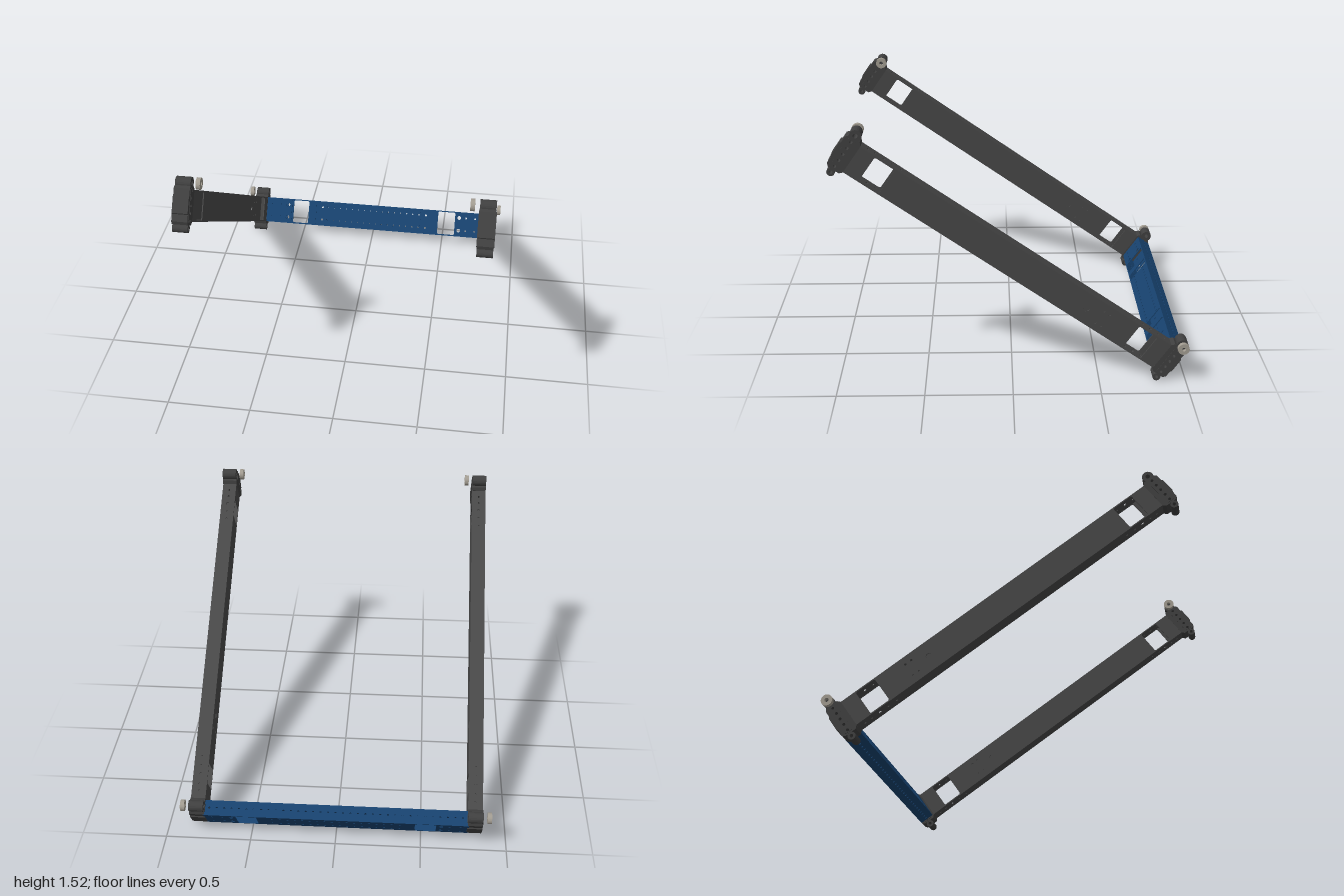
import * as THREE from 'three';

const mat = (color) => new THREE.MeshStandardMaterial({ color });
const TILT = THREE.MathUtils.degToRad(35);
const ARM_X = 0.811, ARM_W = 0.086, TUBE_H = 0.174, WALL = 0.006;
const CAP_Z = 1.104;

function circle(x, y, r) {
  const p = new THREE.Path();
  p.absarc(x, y, r, 0, Math.PI * 2, true);
  return p;
}

// Rounded rectangle written onto a Path or Shape
function roundRect(p, cx, cy, w, h, r) {
  const x = w / 2 - r, y = h / 2 - r;
  p.absarc(cx + x, cy + y, r, 0, Math.PI / 2);
  p.absarc(cx - x, cy + y, r, Math.PI / 2, Math.PI);
  p.absarc(cx - x, cy - y, r, Math.PI, Math.PI * 1.5);
  p.absarc(cx + x, cy - y, r, Math.PI * 1.5, Math.PI * 2);
  p.closePath();
  return p;
}

const slot = (cx, w) => roundRect(new THREE.Path(), cx, 0, w, 0.16, 0.01);

// Extrusion centred on its own thickness
function slab(shape, depth, curveSegments = 5) {
  const g = new THREE.ExtrudeGeometry(shape, { depth, bevelEnabled: false, curveSegments });
  return g.translate(0, 0, -depth / 2);
}

function plate(w, h, holes) {
  const s = new THREE.Shape();
  s.moveTo(-w / 2, -h / 2).lineTo(w / 2, -h / 2).lineTo(w / 2, h / 2).lineTo(-w / 2, h / 2).closePath();
  s.holes.push(...holes);
  return slab(s, WALL);
}

function add(parent, name, geometry, material, x = 0, y = 0, z = 0) {
  const m = new THREE.Mesh(geometry, material);
  m.name = name;
  m.position.set(x, y, z);
  parent.add(m);
  return m;
}

// Hollow rail: side walls with slots, top and bottom walls with bolt holes
function buildArm(material) {
  const arm = new THREE.Group();
  const sideHoles = [slot(-0.89, 0.128), slot(0.89, 0.128), circle(-0.511, 0, 0.017)];
  for (const z of [-0.602, -0.642]) for (const y of [-0.043, 0.043]) sideHoles.push(circle(z, y, 0.007));
  const boltHoles = [];
  for (const s of [-1, 1]) {
    for (const z of [0.795, 0.85, 0.96, 1.005]) boltHoles.push(circle(0, s * z, 0.0065));
    boltHoles.push(circle(0, s * 0.905, 0.01));
  }
  const side = plate(2.12, TUBE_H, sideHoles).rotateY(-Math.PI / 2);
  const flat = plate(ARM_W - 2 * WALL, 2.12, boltHoles).rotateX(Math.PI / 2);
  for (const s of [-1, 1]) {
    add(arm, 'armSideWall', side, material, s * (ARM_W - WALL) / 2, 0, 0);
    add(arm, s > 0 ? 'armTopWall' : 'armBottomWall', flat, material, 0, s * (TUBE_H - WALL) / 2, 0);
  }
  return arm;
}

// End bracket: notched body with a row of through holes and an eye at each end
function buildCap(material) {
  const cap = new THREE.Group();
  const body = new THREE.Shape([
    [-0.055, -0.088], [-0.04, -0.105], [0.03, -0.105], [0.043, -0.09], [0.043, -0.05], [0.05, -0.045],
    [0.05, 0.045], [0.043, 0.05], [0.043, 0.09], [0.03, 0.105], [-0.04, 0.105], [-0.055, 0.088],
  ].map(([a, b]) => new THREE.Vector2(a, b)));
  for (const v of [-0.082, -0.041, 0, 0.041, 0.082]) body.holes.push(circle(0, v, 0.009));
  add(cap, 'capBody', slab(body, ARM_W + 0.002).rotateY(-Math.PI / 2), material);

  for (const [v, r, hole] of [[0.122, 0.033, 0.013], [-0.124, 0.023, 0.01]]) {
    const eye = new THREE.Shape();
    eye.absarc(0, v, r, 0, Math.PI * 2);
    eye.holes.push(circle(0, v, hole));
    add(cap, 'capEye', slab(eye, ARM_W, 10).rotateY(-Math.PI / 2), material);
  }

  // Raised pads on both cheeks
  const pad = new THREE.Shape();
  roundRect(pad, 0, 0, 0.05, 0.19, 0.008);
  for (const v of [-0.082, -0.041, 0, 0.041, 0.082]) pad.holes.push(circle(0, v, 0.009));
  const padGeo = slab(pad, 0.003).rotateY(-Math.PI / 2);
  for (const s of [-1, 1]) add(cap, 'capPad', padGeo, material, s * (ARM_W / 2 + 0.002), 0, 0);
  return cap;
}

// Hollow cross beam with regular bolt rows, two through slots and two front slots
function buildBeam(material) {
  const beam = new THREE.Group();
  const LEN = 1.55, DEPTH = 0.09;
  const faceHoles = (front) => {
    const h = [slot(-0.525, 0.124), slot(0.525, 0.124)];
    if (front) h.push(slot(-0.375, 0.068), slot(0.375, 0.068));
    for (const y of [-0.045, 0.045]) {
      for (let i = -7.5; i <= 7.5; i++) h.push(circle(i * 0.0435, y, 0.007));
      for (const s of [-1, 1]) {
        h.push(circle(s * 0.615, y, 0.014), circle(s * 0.664, y, 0.007), circle(s * 0.728, y, 0.007));
        if (!front) h.push(circle(s * 0.375, y, 0.007));
      }
    }
    return h;
  };
  add(beam, 'beamFrontWall', plate(LEN, TUBE_H, faceHoles(true)), material, 0, 0, (DEPTH - WALL) / 2);
  add(beam, 'beamBackWall', plate(LEN, TUBE_H, faceHoles(false)), material, 0, 0, -(DEPTH - WALL) / 2);
  const row = [];
  for (let i = -17; i <= 17; i++) row.push(circle(i * 0.0435, 0, 0.007));
  const flat = plate(LEN, DEPTH - 2 * WALL, row).rotateX(Math.PI / 2);
  for (const s of [-1, 1]) {
    add(beam, s > 0 ? 'beamTopWall' : 'beamBottomWall', flat, material, 0, s * (TUBE_H - WALL) / 2, 0);
  }
  return beam;
}

function rollerGeometry() {
  const s = new THREE.Shape();
  s.absarc(0, 0, 0.033, 0, Math.PI * 2);
  s.holes.push(circle(0, 0, 0.012));
  return slab(s, 0.024, 14).rotateY(-Math.PI / 2);
}

export function createModel() {
  const model = new THREE.Group();
  model.name = 'tiltedFrame';
  const dark = mat(0x484848), capDark = mat(0x404040), blue = mat(0x17426f), pale = mat(0xa39d92);

  // Everything is laid out flat, then tipped so the front end rises
  const frame = new THREE.Group();
  frame.name = 'frame';
  frame.rotation.x = -TILT;
  frame.position.set(0, 0.755, 0.002);
  model.add(frame);

  const roller = rollerGeometry();
  for (const s of [-1, 1]) {
    const side = s > 0 ? 'left' : 'right';
    const arm = buildArm(dark);
    arm.name = side + 'Arm';
    arm.position.x = s * ARM_X;
    frame.add(arm);
    for (const end of [-1, 1]) {
      const cap = buildCap(capDark);
      cap.name = side + (end > 0 ? 'FrontCap' : 'BackCap');
      cap.position.set(s * ARM_X, 0, end * CAP_Z);
      if (end < 0) cap.rotation.y = Math.PI;
      frame.add(cap);
      // Front rollers sit inside the arms, back rollers outside
      add(frame, side + (end > 0 ? 'FrontRoller' : 'BackRoller'), roller, pale,
        s * (end > 0 ? 0.73 : 0.89), 0.122, end * CAP_Z);
    }
  }

  const beam = buildBeam(blue);
  beam.name = 'crossBeam';
  beam.position.z = -CAP_Z;
  frame.add(beam);
  return model;
}
